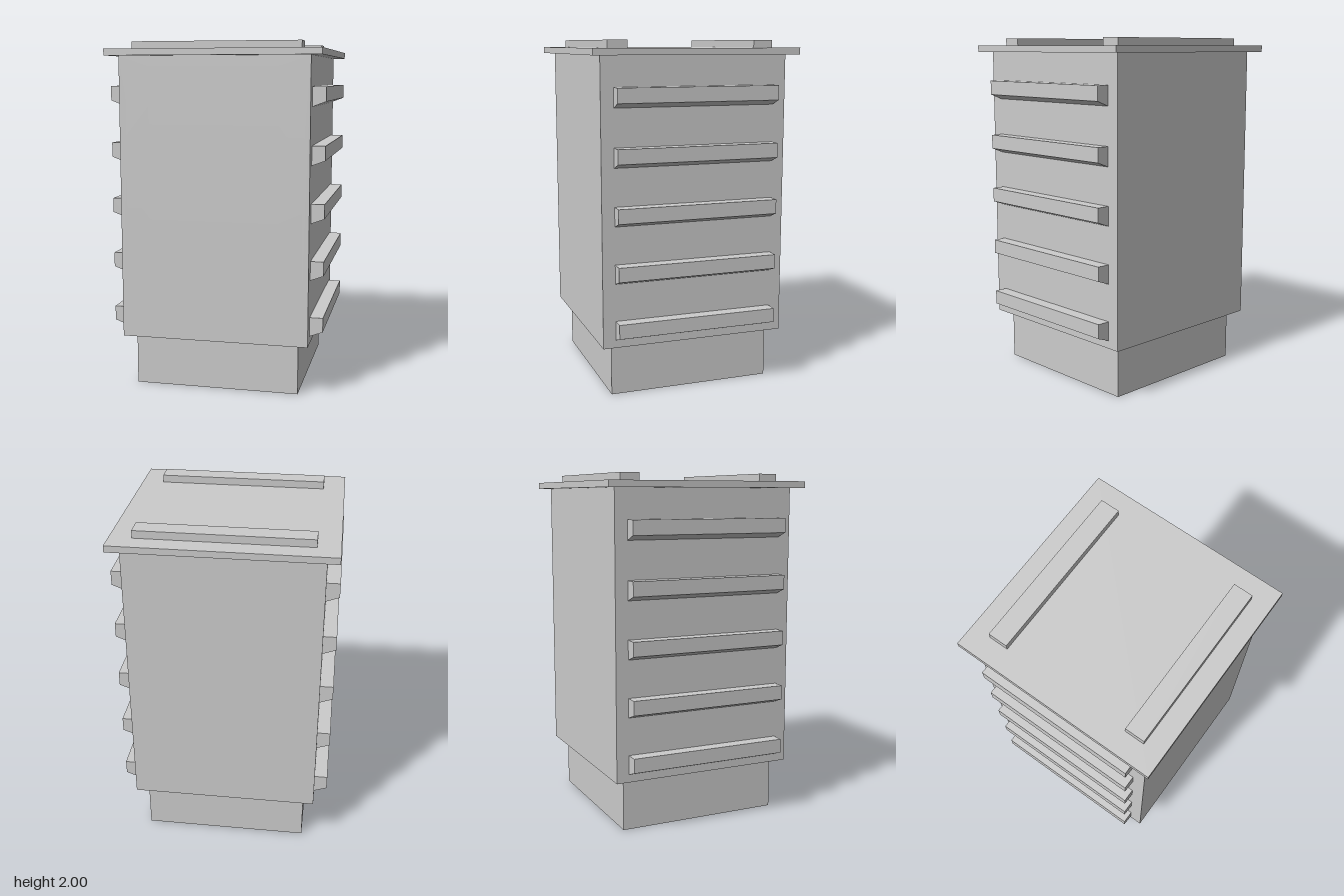
import * as THREE from 'three';

const mat = new THREE.MeshStandardMaterial({ color: 0xcccccc, flatShading: true, side: THREE.DoubleSide });

const HALF = 0.543, BOTTOM = 0.3, TOP = 1.92;
const LEVELS = 5, STEP = 0.324;

function add(parent, name, geometry, x = 0, y = 0, z = 0) {
  const mesh = new THREE.Mesh(geometry, mat);
  mesh.name = name;
  mesh.position.set(x, y, z);
  parent.add(mesh);
  return mesh;
}

// Outline of a rectangle, as a Shape or a hole Path
function rect(Type, x0, y0, x1, y1) {
  const p = new Type();
  p.moveTo(x0, y0);
  p.lineTo(x1, y0);
  p.lineTo(x1, y1);
  p.lineTo(x0, y1);
  p.closePath();
  return p;
}

// Flat wall facing +z with rectangular openings
function wallGeometry(openings) {
  const shape = rect(THREE.Shape, -HALF, BOTTOM, HALF, TOP);
  for (const o of openings) shape.holes.push(rect(THREE.Path, ...o));
  return new THREE.ShapeGeometry(shape);
}

// Handle ledge: hollow, open to the wall, underside sloping up to the outer face
function handleGeometry() {
  const w = 0.47, depth = 0.075, h = 0.11, rise = 0.028;
  const inner = [[-w, 0, 0], [w, 0, 0], [w, h, 0], [-w, h, 0]];
  const outer = [[-w, rise, depth], [w, rise, depth], [w, h, depth], [-w, h, depth]];
  const pos = [];
  const quad = (a, b, c, d) => pos.push(...a, ...b, ...c, ...a, ...c, ...d);
  for (let i = 0; i < 4; i++) {
    const j = (i + 1) % 4;
    quad(inner[i], inner[j], outer[j], outer[i]);
  }
  quad(...outer);
  const g = new THREE.BufferGeometry();
  g.setAttribute('position', new THREE.Float32BufferAttribute(pos, 3));
  g.computeVertexNormals();
  return g;
}

// Wall with flush panels and corner blocks on every level
function panelWall(name) {
  const wall = new THREE.Group();
  wall.name = name;
  const openings = [];
  for (let i = 0; i < LEVELS; i++) {
    const y = 0.35 + i * STEP;
    const parts = [
      ['panel', [-0.37, y, 0.37, y + 0.217]],
      ['cornerBlock', [0.415, y + 0.06, 0.507, y + 0.153]],
      ['cornerBlock', [-0.507, y + 0.06, -0.415, y + 0.153]],
    ];
    for (const [part, r] of parts) {
      openings.push(r);
      add(wall, part, new THREE.ShapeGeometry(rect(THREE.Shape, ...r)), 0, 0, HALF);
    }
  }
  add(wall, 'wall', wallGeometry(openings), 0, 0, HALF);
  return wall;
}

// Wall with a handle over a slot on every level
function handleWall(name) {
  const wall = new THREE.Group();
  wall.name = name;
  const openings = [];
  const handle = handleGeometry();
  for (let i = 0; i < LEVELS; i++) {
    const y = 0.345 + i * STEP;
    openings.push([-0.47, y, 0.47, y + 0.11]);
    add(wall, 'handle', handle, 0, y, HALF);
  }
  add(wall, 'wall', wallGeometry(openings), 0, 0, HALF);
  return wall;
}

export function createModel() {
  const model = new THREE.Group();
  model.name = 'stackedBox';

  // Four body walls
  const walls = [panelWall('frontWall'), handleWall('leftWall'), panelWall('backWall'), handleWall('rightWall')];
  walls.forEach((wall, i) => {
    wall.rotation.y = (i * Math.PI) / 2;
    model.add(wall);
  });

  // Base skirt, open above and below
  const base = new THREE.Group();
  base.name = 'base';
  for (let i = 0; i < 4; i++) {
    const side = new THREE.PlaneGeometry(0.96, BOTTOM);
    side.translate(0, BOTTOM / 2, 0.48);
    side.rotateY((i * Math.PI) / 2);
    add(base, 'baseSide', side);
  }
  model.add(base);

  // Lid with two battens
  add(model, 'lid', new THREE.BoxGeometry(1.22, 0.037, 1.2), 0, TOP + 0.0185, 0);
  for (const s of [-1, 1]) {
    add(model, 'lidBatten', new THREE.BoxGeometry(0.97, 0.043, 0.113), 0, 1.9785, s * 0.429);
  }
  return model;
}
